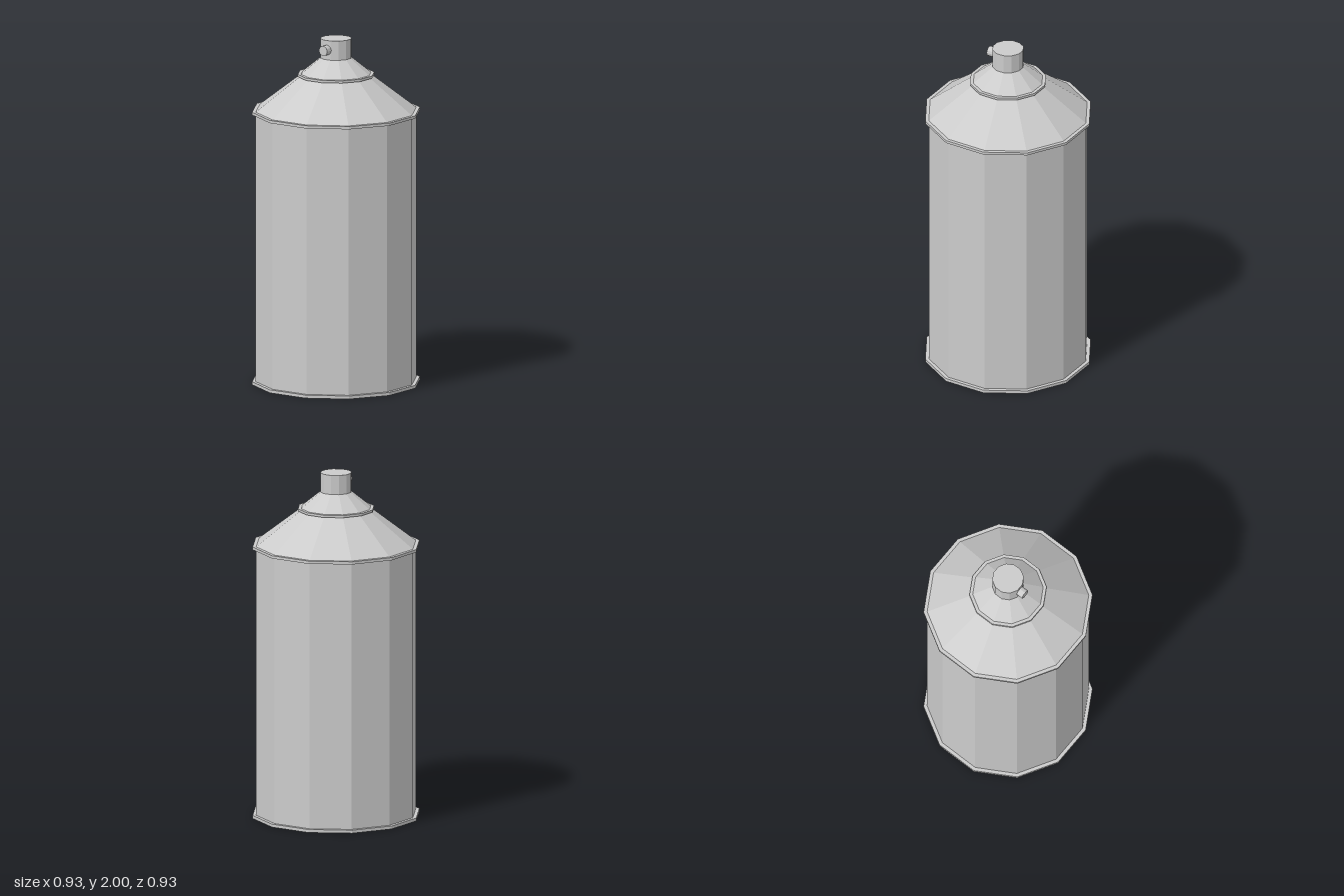
import * as THREE from 'three';

const SIDES = 12;
const TO_CORNER = 1 / Math.cos(Math.PI / SIDES); // flat-to-centre distance -> corner radius

export function createModel() {
  const group = new THREE.Group();
  const material = new THREE.MeshStandardMaterial({ color: 0xcccccc, flatShading: true });

  // Twelve-sided ring section with a flat facing the front; sizes are across the flats
  function section(name, bottomHalf, topHalf, y0, y1) {
    const geometry = new THREE.CylinderGeometry(topHalf * TO_CORNER, bottomHalf * TO_CORNER, y1 - y0, SIDES);
    geometry.rotateY(Math.PI / SIDES);
    geometry.translate(0, (y0 + y1) / 2, 0);
    const mesh = new THREE.Mesh(geometry, material);
    mesh.name = name;
    group.add(mesh);
  }

  // Can body with its rolled rims
  section('bottomRim', 0.467, 0.467, 0, 0.018);
  section('body', 0.447, 0.447, 0.018, 1.568);
  section('topRim', 0.467, 0.467, 1.568, 1.584);

  // Tapered shoulder, collar and neck
  section('shoulder', 0.447, 0.2, 1.584, 1.782);
  section('collar', 0.213, 0.213, 1.782, 1.796);
  section('neck', 0.195, 0.084, 1.796, 1.89);

  // Spray button
  section('sprayButton', 0.087, 0.087, 1.888, 2);

  // Nozzle pointing forwards
  const nozzleGeometry = new THREE.CylinderGeometry(0.029, 0.029, 0.06, SIDES);
  nozzleGeometry.rotateX(Math.PI / 2);
  const nozzle = new THREE.Mesh(nozzleGeometry, material);
  nozzle.name = 'nozzle';
  nozzle.position.set(0, 1.945, 0.095);
  group.add(nozzle);

  return group;
}
